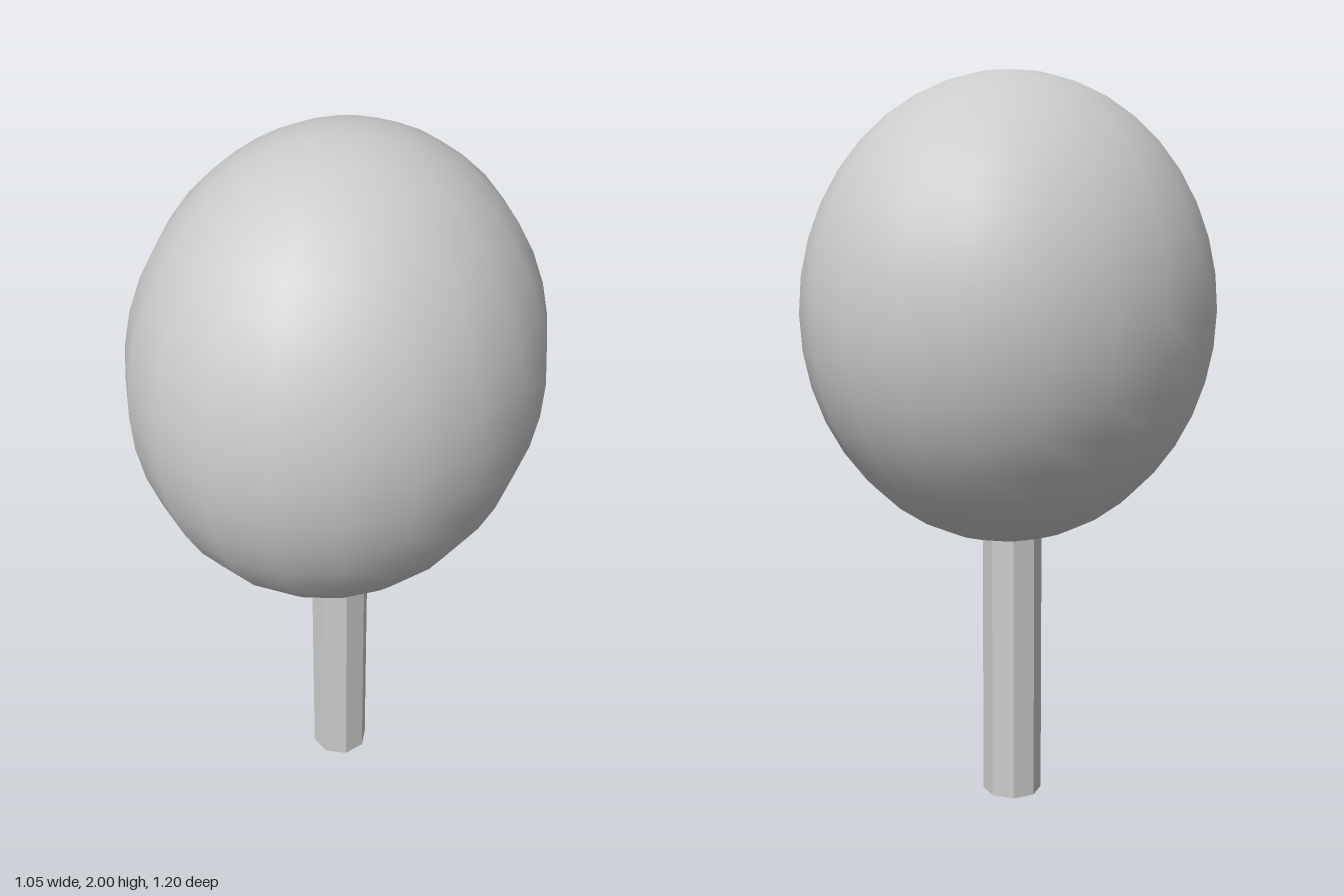
import * as THREE from 'three';

export function createModel() {
  const model = new THREE.Group();

  // Straight eight-sided trunk, reaching just inside the crown
  const trunkHeight = 0.78;
  const trunk = new THREE.Mesh(
    new THREE.CylinderGeometry(0.082, 0.082, trunkHeight, 8),
    new THREE.MeshStandardMaterial({ color: 0xcccccc, flatShading: true })
  );
  trunk.name = 'trunk';
  trunk.position.y = trunkHeight / 2;
  model.add(trunk);

  // Smooth egg-shaped crown, narrower across x than z
  const crown = new THREE.Mesh(
    new THREE.SphereGeometry(1, 20, 20).scale(0.525, 0.63, 0.598),
    new THREE.MeshStandardMaterial({ color: 0xcccccc })
  );
  crown.name = 'crown';
  crown.position.y = 1.37;
  model.add(crown);

  return model;
}
